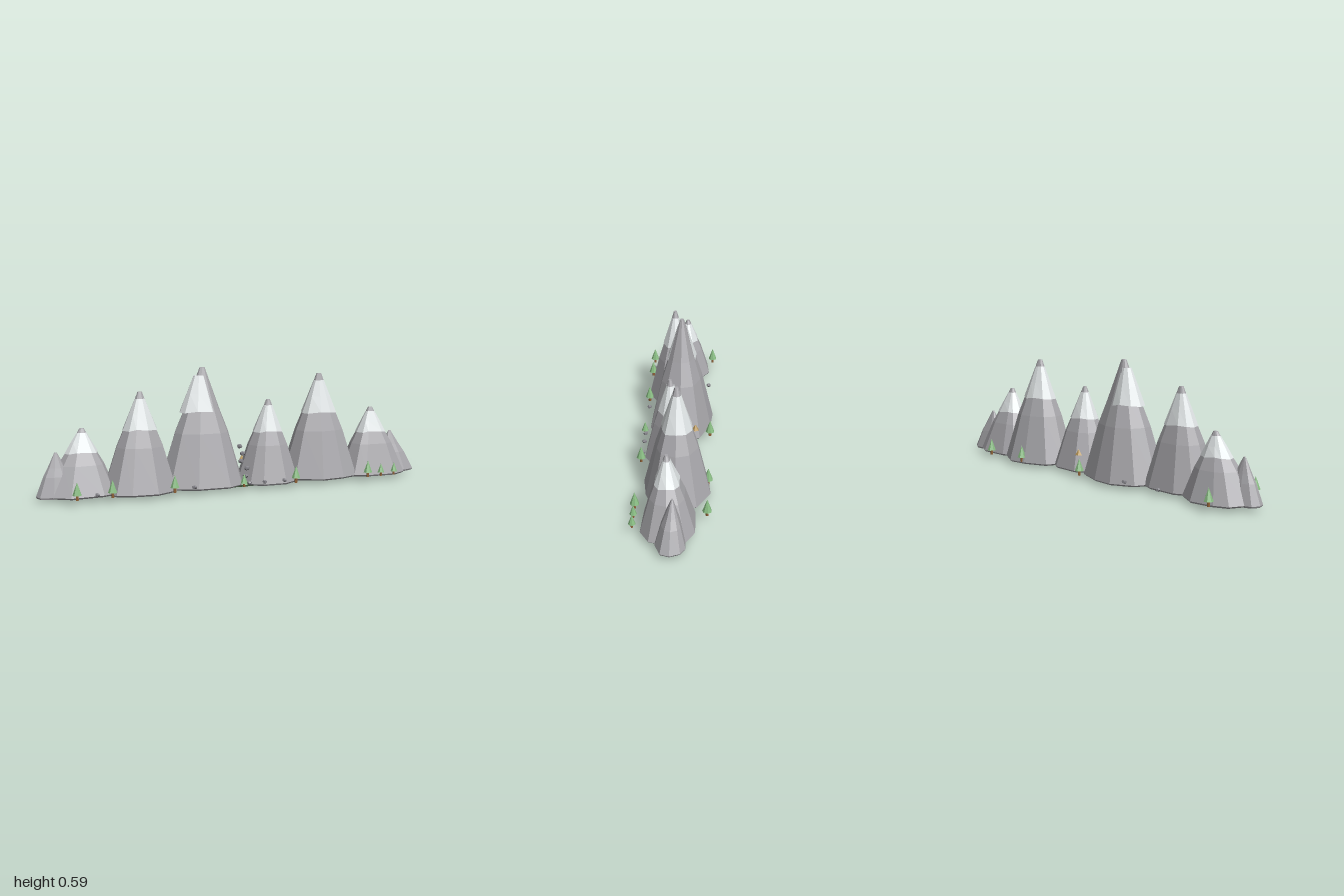
import * as THREE from 'three';

const paint = (name, color) => {
  const m = new THREE.MeshStandardMaterial({ color });
  m.name = name;
  return m;
};
const rock = paint('grey rock', 0xa9a8ac);
const snow = paint('pale snow', 0xe6ebec);
const stone = paint('dark stone', 0x85848a);
const leaf = paint('pine green', 0x88bc82);
const bark = paint('brown bark', 0x8f6238);
const grass = paint('meadow green', 0x74a16c);
const ochre = paint('ochre stone', 0xba9858);

const FOOT = 0.024;
const SIDES = 10;

// Slightly bulging slope: outline scale at a height fraction
function spread(h) {
  if (h < 0.45) return 1 - 0.82 * h;
  if (h < 0.65) return 0.631 - 1.1 * (h - 0.45);
  return 0.411 - 1.0 * (h - 0.65);
}

// Irregular foot outline filling a rectangle, starting at its low x end
function footOutline([x0, x1], [z0, z1], seed) {
  return Array.from({ length: SIDES }, (_, i) => {
    const a = i / SIDES * Math.PI * 2;
    const b = a + 0.14 * Math.sin(a) * Math.sin(i * 2.1 + seed);
    const soft = v => Math.sign(v) * Math.abs(v) ** 0.85;
    const wobble = 0.97 + 0.04 * Math.sin(i * 2.4 + seed * 1.7);
    return [
      (x0 + x1) / 2 - (x1 - x0) / 2 * soft(Math.cos(b)),
      (z0 + z1) / 2 - (z1 - z0) / 2 * soft(Math.sin(b)) * wobble,
    ];
  });
}

// Faceted closed solid from stacked rings, lowest ring first
function loft(rings) {
  const pos = [];
  const tri = (...pts) => pts.forEach(p => pos.push(...p));
  const middle = ring => [0, 1, 2].map(k => ring.reduce((s, p) => s + p[k], 0) / SIDES);
  const first = rings[0], last = rings[rings.length - 1];
  const low = middle(first), high = middle(last);
  for (let i = 0; i < SIDES; i++) {
    const j = (i + 1) % SIDES;
    for (let r = 0; r + 1 < rings.length; r++) {
      const a = rings[r], b = rings[r + 1];
      tri(a[i], b[i], b[j]);
      tri(a[i], b[j], a[j]);
    }
    tri(low, first[i], first[j]);
    tri(high, last[j], last[i]);
  }
  const g = new THREE.BufferGeometry();
  g.setAttribute('position', new THREE.Float32BufferAttribute(pos, 3));
  g.computeVertexNormals();
  return g;
}

function add(parent, name, geometry, material, x = 0, y = 0, z = 0) {
  const m = new THREE.Mesh(geometry, material);
  m.name = name;
  m.position.set(x, y, z);
  parent.add(m);
  return m;
}

const faceted = g => {
  const flat = g.index ? g.toNonIndexed() : g;
  flat.computeVertexNormals();
  return flat;
};

// One peak: summit, foot extents along x and z, optional snow line and sideways snow drift
function mountain(name, [cx, top, cz], xs, zs, snowLine, drift = 0) {
  const g = new THREE.Group();
  g.name = name;
  const outline = footOutline(xs, zs, cx * 9);
  const ring = (y, f) => outline.map(([x, z]) => [cx + (x - cx) * f, y, cz + (z - cz) * f]);
  const at = (h, grow = 1) => ring(FOOT + (top - FOOT) * h, spread(h) * grow);
  add(g, 'rockSlope', loft([ring(0.016, 0.95), at(0), at(0.45), at(0.65), at(1)]), rock);
  if (snowLine) {
    // Snow cap with a wavy lower rim, the rock tip showing above it
    const h = (snowLine - FOOT) / (top - FOOT);
    const rim = at(h, 1.05).map(([x, y, z], i) => [x, y + (i % 3 - 1) * 0.004, z]);
    const crown = h + 0.82 * (1 - h);
    add(g, 'snowCap', loft([rim, at((h + crown) / 2, 1.05), at(crown, 1.04)]), snow, drift);
  }
  return g;
}

function tree(x, z, height) {
  const g = new THREE.Group();
  g.name = 'pineTree';
  const r = height * 0.27;
  add(g, 'trunk', faceted(new THREE.CylinderGeometry(r * 0.28, r * 0.32, height * 0.35, 6)), bark, 0, height * 0.17, 0);
  add(g, 'foliage', faceted(new THREE.ConeGeometry(r, height * 0.74, 7)), leaf, 0, height * 0.65, 0);
  g.position.set(x, 0.026, z);
  return g;
}

export function createModel() {
  const model = new THREE.Group();
  model.name = 'mountainRange';

  model.add(
    mountain('rightFoothill', [-0.905, 0.225, 0.01], [-1, -0.8], [-0.05, 0.065]),
    mountain('rightPeak', [-0.77, 0.325, -0.03], [-0.96, -0.61], [-0.15, 0.115], 0.215),
    mountain('innerRightPeak', [-0.505, 0.49, 0.03], [-0.69, -0.33], [-0.11, 0.17], 0.315),
    mountain('highestPeak', [-0.175, 0.59, -0.018], [-0.4, 0.035], [-0.18, 0.145], 0.38, -0.014),
    mountain('middlePeak', [0.155, 0.425, 0.025], [-0.005, 0.31], [-0.12, 0.15], 0.27),
    mountain('innerLeftPeak', [0.455, 0.54, -0.02], [0.26, 0.66], [-0.18, 0.135], 0.345),
    mountain('leftPeak', [0.735, 0.36, 0.012], [0.575, 0.925], [-0.13, 0.135], 0.235),
    mountain('leftFoothill', [0.87, 0.225, -0.02], [0.78, 1], [-0.085, 0.06]),
  );

  // Shallow meadow bowl under the range
  const bowl = faceted(new THREE.SphereGeometry(1, 16, 8));
  add(model, 'meadow', bowl, grass, -0.01, 0.018, 0.008).scale.set(0.42, 0.018, 0.075);

  // Pines along the front and the back
  const pineRow = (xs, z, height) => xs.forEach(x => model.add(tree(x, z, height)));
  pineRow([-0.845, -0.68, -0.38, 0.245, 0.645], 0.16, 0.081);
  pineRow([-0.03, 0.72, 0.795], 0.16, 0.063);
  pineRow([-0.86, -0.02, 0.43, 0.69], -0.166, 0.082);

  // Loose boulders along the foot
  const boulderShape = faceted(new THREE.DodecahedronGeometry(1));
  const boulder = (x, y, z, r) => {
    const b = add(model, 'boulder', boulderShape, stone, x, y, z);
    b.scale.set(r, r * 0.8, r);
    b.rotation.y = x * 20 + y * 30;
  };
  [-0.75, -0.28, 0, 0.08, 0.185].forEach(x => boulder(x, 0.042, 0.155, 0.012));
  [-0.54, -0.32].forEach(x => boulder(x, 0.042, -0.15, 0.012));

  // Boulders tumbling down the central gully
  for (let i = 0; i < 5; i++) {
    boulder(0.005 + 0.012 * Math.sin(i * 2.5), 0.2 - i * 0.033, 0.02 + i * 0.022, 0.014);
  }

  // Small pointed ochre stone on the back slope
  const ochreShape = faceted(new THREE.ConeGeometry(0.018, 0.03, 5));
  add(model, 'ochreStone', ochreShape, ochre, 0.065, 0.12, -0.095);

  return model;
}
